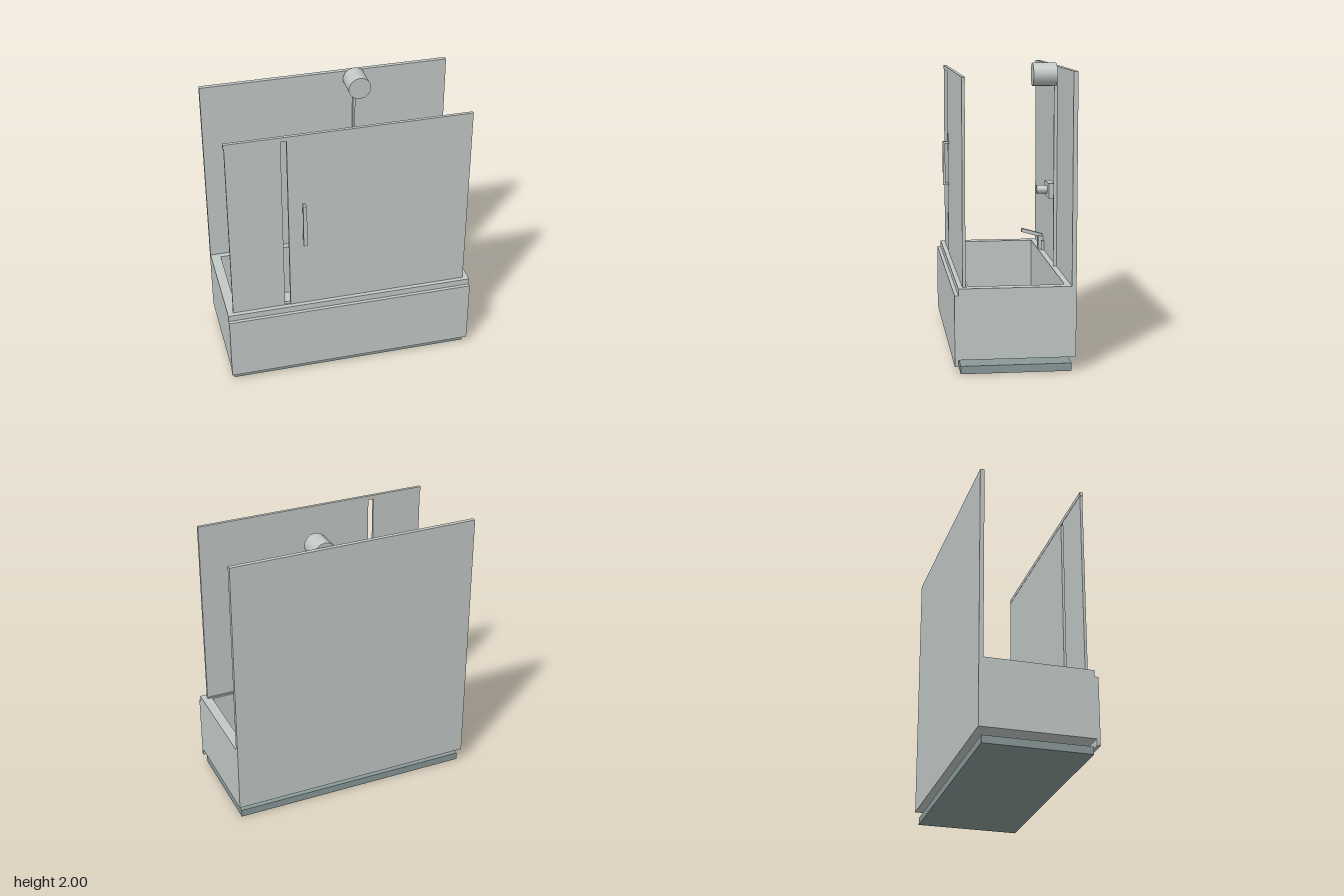
import * as THREE from 'three';

export function createModel() {
  const model = new THREE.Group();
  model.name = 'showerBath';

  const enamel = new THREE.MeshStandardMaterial({ color: 0xc2c9c6 });
  enamel.name = 'pale grey enamel';
  const plinth = new THREE.MeshStandardMaterial({ color: 0x8a9a99 });
  plinth.name = 'slate grey plinth';

  function add(name, geometry, material = enamel, parent = model) {
    const mesh = new THREE.Mesh(geometry, material);
    mesh.name = name;
    parent.add(mesh);
    return mesh;
  }

  // Box given by its extents on each axis
  function box(name, [x0, x1], [y0, y1], [z0, z1], material = enamel, parent = model) {
    const g = new THREE.BoxGeometry(x1 - x0, y1 - y0, z1 - z0);
    g.translate((x0 + x1) / 2, (y0 + y1) / 2, (z0 + z1) / 2);
    return add(name, g, material, parent);
  }

  // Cylinder lying along z
  function rod(name, r, x, y, [z0, z1], sides, parent = model) {
    const g = new THREE.CylinderGeometry(r, r, z1 - z0, sides);
    g.rotateX(Math.PI / 2);
    g.translate(x, y, (z0 + z1) / 2);
    return add(name, g, enamel, parent);
  }

  function rectangle(Kind, x0, x1, y0, y1) {
    const p = new Kind();
    p.moveTo(x0, y0);
    p.lineTo(x1, y0);
    p.lineTo(x1, y1);
    p.lineTo(x0, y1);
    p.closePath();
    return p;
  }

  // Plinth under the bath, with a small gap above it
  box('plinth', [-0.86, 0.86], [0, 0.053], [-0.375, 0.36], plinth);

  // Bath: rim and sides around a rectangular well, then its floor
  const ring = rectangle(THREE.Shape, -0.88, 0.88, -0.375, 0.40);
  ring.holes.push(rectangle(THREE.Path, -0.81, 0.81, -0.305, 0.33));
  const sides = new THREE.ExtrudeGeometry(ring, { depth: 0.475, bevelEnabled: false });
  sides.rotateX(-Math.PI / 2);
  sides.translate(0, 0.1, 0);
  add('bathSides', sides);
  box('bathFloor', [-0.81, 0.81], [0.1, 0.15], [-0.33, 0.305]);
  box('frontApron', [-0.88, 0.88], [0.055, 0.53], [0.375, 0.40]);

  // Back wall
  box('backWall', [-0.88, 0.88], [0.575, 1.975], [-0.40, -0.37]);

  // Screen: fixed panel, door, and the rail joining them
  const screen = new THREE.Group();
  screen.name = 'screen';
  model.add(screen);
  box('topRail', [-0.845, 0.84], [1.91, 1.94], [0.323, 0.345], enamel, screen);
  box('fixedPanel', [-0.84, -0.47], [0.575, 1.91], [0.325, 0.343], enamel, screen);
  box('door', [-0.43, 0.84], [0.575, 1.91], [0.325, 0.345], enamel, screen);
  box('bottomTrack', [-0.84, 0.84], [0.575, 0.583], [0.318, 0.343], enamel, screen);

  // Door handle: bar on two standoffs
  const handle = new THREE.Group();
  handle.name = 'doorHandle';
  model.add(handle);
  box('handleBar', [-0.338, -0.312], [1.09, 1.41], [0.373, 0.39], enamel, handle);
  for (const y of [1.09, 1.395]) {
    box('handleStandoff', [-0.332, -0.318], [y, y + 0.015], [0.345, 0.373], enamel, handle);
  }

  // Shower head and riser pipe
  rod('showerHead', 0.08, 0.205, 1.92, [-0.36, -0.195], 14);
  box('riserPipe', [0.197, 0.213], [0.575, 1.92], [-0.37, -0.347]);

  // Mixer valve
  box('valvePlate', [-0.1, 0.1], [1.04, 1.145], [-0.37, -0.33]);
  rod('valveKnob', 0.03, 0, 1.092, [-0.33, -0.255], 20);

  // Bath tap: body, sloping spout and two side handles
  const tap = new THREE.Group();
  tap.name = 'tap';
  model.add(tap);
  box('tapBody', [-0.495, -0.44], [0.575, 0.675], [-0.37, -0.333], enamel, tap);
  const spout = add('tapSpout', new THREE.BoxGeometry(0.032, 0.027, 0.16), enamel, tap);
  spout.position.set(-0.468, 0.697, -0.286);
  spout.rotation.x = -0.28;
  for (const x of [-0.54, -0.395]) {
    box('tapHandle', [x - 0.01, x + 0.01], [0.575, 0.645], [-0.37, -0.348], enamel, tap);
  }

  return model;
}
